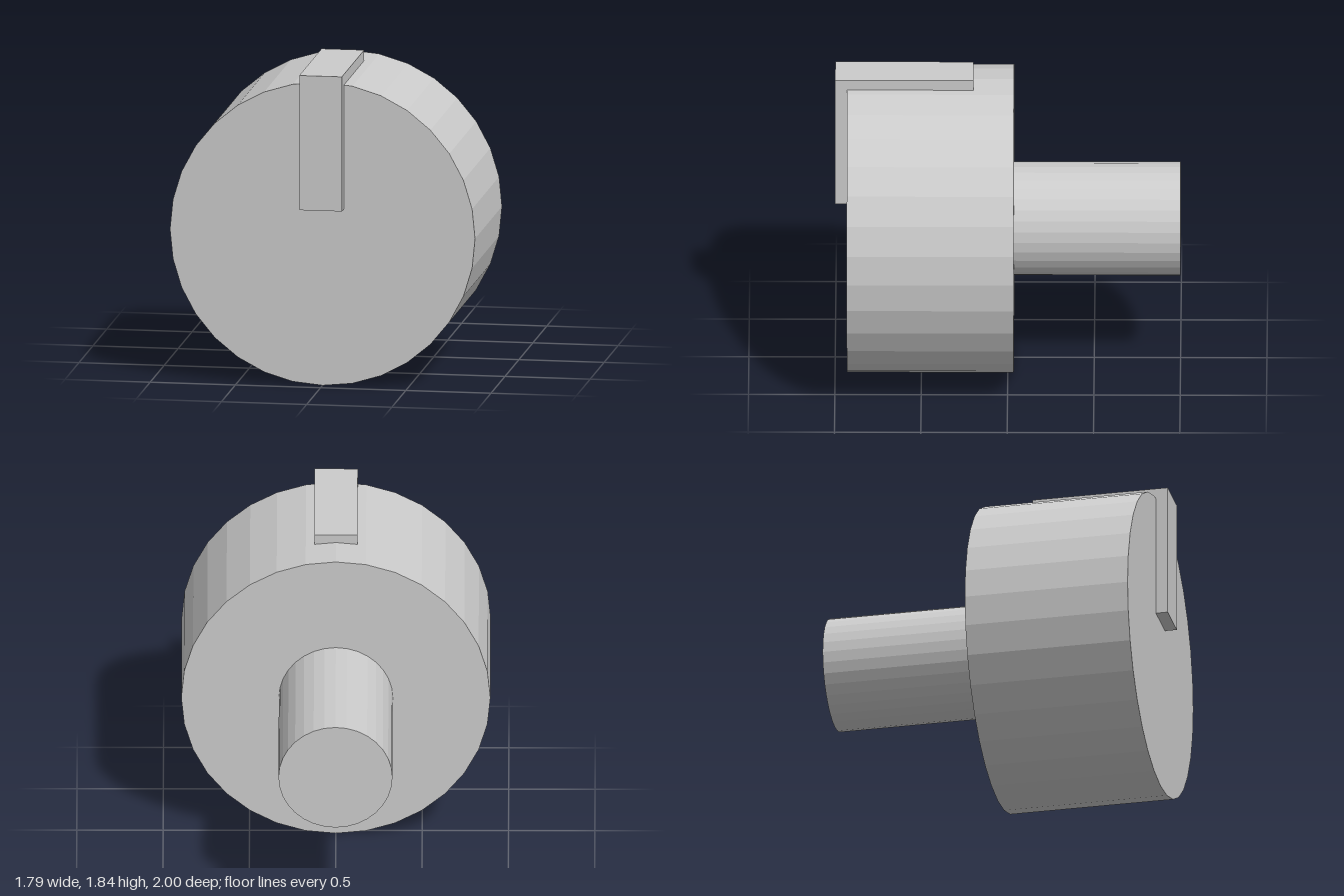
import * as THREE from 'three';

export function createModel() {
  const model = new THREE.Group();
  const material = new THREE.MeshStandardMaterial({ color: 0xcccccc, flatShading: true });
  const axisY = 0.895;

  function add(name, geometry, y, z) {
    const mesh = new THREE.Mesh(geometry, material);
    mesh.name = name;
    mesh.position.set(0, y, z);
    model.add(mesh);
  }

  // 32-sided cylinder lying along z between two depths
  function addCylinder(name, radius, back, front) {
    const geometry = new THREE.CylinderGeometry(radius, radius, front - back, 32);
    geometry.rotateX(Math.PI / 2);
    add(name, geometry, axisY, (back + front) / 2);
  }

  addCylinder('knobBody', 0.895, -0.035, 0.93);
  addCylinder('shaft', 0.33, -1, -0.035);

  // Pointer bar set into the front and top of the knob
  add('pointer', new THREE.BoxGeometry(0.25, 0.795, 0.8), 1.4425, 0.6);

  return model;
}
